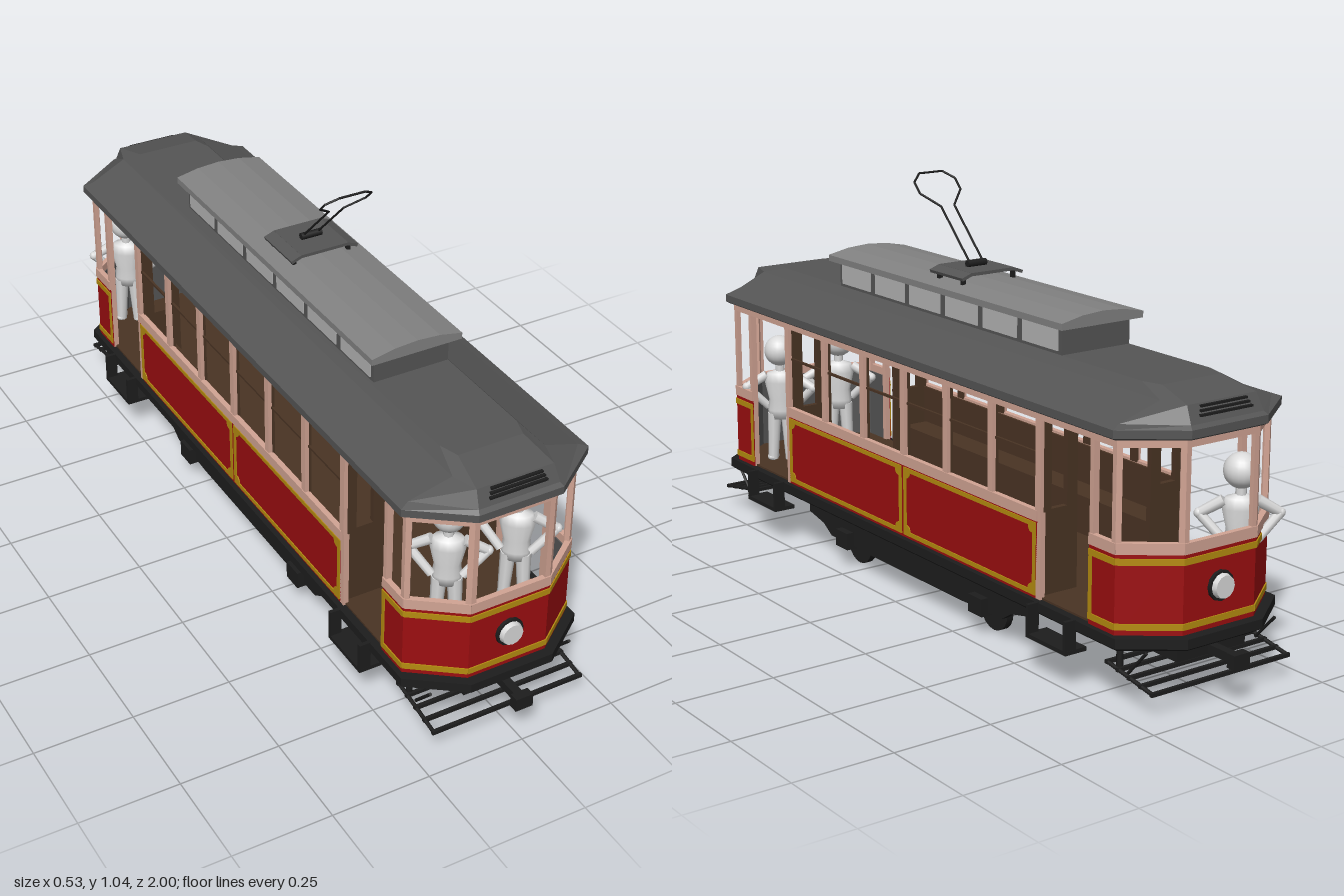
import * as THREE from 'three';

const mat = (name, color, extra = {}) => {
  const m = new THREE.MeshStandardMaterial({ color, ...extra });
  m.name = name;
  return m;
};

export function createModel() {
  const red = mat('red paint', 0x9c0e10), gold = mat('gold trim', 0xb58c10);
  const pink = mat('pale wood', 0xd2a494), roofGrey = mat('roof grey', 0x555555);
  const lightGrey = mat('light roof grey', 0x828282), black = mat('black iron', 0x1d1d1d);
  const brown = mat('brown wood', 0x4a3424), white = mat('figure white', 0xdadada);
  const pane = mat('pane grey', 0xb4b4b4);
  const tram = new THREE.Group();
  tram.name = 'tram';

  const add = (parent, name, geo, m, x = 0, y = 0, z = 0) => {
    const mesh = new THREE.Mesh(geo, m);
    mesh.name = name;
    mesh.position.set(x, y, z);
    parent.add(mesh);
    return mesh;
  };
  const box = (p, name, m, w, h, d, x, y, z) => add(p, name, new THREE.BoxGeometry(w, h, d), m, x, y, z);
  const rod = (p, name, m, a, b, r, r2 = r, sides = 8) => {
    const A = new THREE.Vector3(...a), B = new THREE.Vector3(...b), d = B.clone().sub(A);
    const mesh = add(p, name, new THREE.CylinderGeometry(r2, r, d.length(), sides), m);
    mesh.position.copy(A).add(B).multiplyScalar(0.5);
    mesh.quaternion.setFromUnitVectors(new THREE.Vector3(0, 1, 0), d.normalize());
    return mesh;
  };

  // Closed, flat-faced loft through eight-sided rings [half width, half length, corner x, corner z, y]
  const loft = (p, name, m, rings) => {
    const pts = rings.map(([w, l, cx, cz, y]) => [[-cx, l], [cx, l], [w, cz], [w, -cz], [cx, -l], [-cx, -l], [-w, -cz], [-w, cz]]
      .map(([x, z]) => [x, y, z]));
    const pos = [];
    const tri = (...t) => t.forEach(v => pos.push(...v));
    for (let r = 0; r + 1 < pts.length; r++) for (let i = 0; i < 8; i++) {
      const j = (i + 1) % 8, a = pts[r], b = pts[r + 1];
      tri(a[i], a[j], b[j]);
      tri(a[i], b[j], b[i]);
    }
    const lo = pts[0], hi = pts[pts.length - 1];
    for (let i = 1; i < 7; i++) {
      tri(hi[0], hi[i], hi[i + 1]);
      tri(lo[0], lo[i + 1], lo[i]);
    }
    const g = new THREE.BufferGeometry();
    g.setAttribute('position', new THREE.Float32BufferAttribute(pos, 3));
    g.computeVertexNormals();
    return add(p, name, g, m);
  };

  // Platform, floor, ceiling and hipped roof
  loft(tram, 'platform', black, [[0.225, 0.93, 0.1, 0.84, 0.135], [0.238, 0.945, 0.11, 0.85, 0.145], [0.238, 0.945, 0.11, 0.85, 0.168]]);
  loft(tram, 'floor', brown, [[0.218, 0.91, 0.1, 0.82, 0.165], [0.218, 0.91, 0.1, 0.82, 0.173]]);
  loft(tram, 'ceiling', brown, [[0.218, 0.91, 0.1, 0.82, 0.607], [0.218, 0.91, 0.1, 0.82, 0.62]]);
  loft(tram, 'roof', roofGrey, [[0.235, 0.93, 0.105, 0.835, 0.615], [0.245, 0.94, 0.11, 0.84, 0.621], [0.245, 0.94, 0.11, 0.84, 0.64],
    [0.222, 0.93, 0.105, 0.83, 0.648], [0.12, 0.91, 0.1, 0.845, 0.688], [0.1, 0.81, 0.085, 0.76, 0.71]]);

  // Clerestory with panes and a shallow arched top
  box(tram, 'clerestory', roofGrey, 0.2, 0.09, 0.95, 0, 0.735, 0);
  for (const s of [-1, 1]) for (let i = 0; i < 6; i++)
    box(tram, 'clerestoryPane', pane, 0.006, 0.052, 0.135, s * 0.1, 0.744, (i - 2.5) * 0.158);
  const arch = new THREE.Shape([[-0.12, 0.775], [0.12, 0.775], [0.12, 0.791], [0.06, 0.803], [0, 0.807], [-0.06, 0.803], [-0.12, 0.791]]
    .map(q => new THREE.Vector2(...q)));
  add(tram, 'clerestoryRoof', new THREE.ExtrudeGeometry(arch, { depth: 1, bevelEnabled: false }), lightGrey, 0, 0, -0.5);

  // Bow collector on its base
  const bow = new THREE.Group();
  bow.name = 'bowCollector';
  tram.add(bow);
  box(bow, 'collectorBase', roofGrey, 0.13, 0.008, 0.14, 0, 0.826, 0);
  for (const s of [-1, 1]) {
    const wing = box(bow, 'collectorWing', roofGrey, 0.03, 0.008, 0.14, s * 0.077, 0.821, 0);
    wing.rotation.z = -s * 0.35;
    for (const z of [-0.05, 0.05]) box(bow, 'collectorFoot', black, 0.01, 0.025, 0.01, s * 0.075, 0.808, z);
  }
  rod(bow, 'collectorPivot', black, [-0.028, 0.837, 0], [0.028, 0.837, 0], 0.009);
  const half = [[0.02, 0.84], [0.02, 0.963], [0.062, 0.995], [0.062, 1.02], [0.035, 1.038]];
  const loop = [...half, ...half.map(([x, y]) => [-x, y]).reverse()].map(([x, y]) => [x, y, y - 0.84]);
  for (let i = 0; i + 1 < loop.length; i++) rod(bow, 'collectorRod', black, loop[i], loop[i + 1], 0.0028, 0.0028, 6);

  // Saloon sides: red panels with rounded gold frames, pillars and sashes
  const frameShape = (w, h, t, r) => {
    const s = new THREE.Shape([[-w, -h], [w, -h], [w, h], [-w, h]].map(q => new THREE.Vector2(...q)));
    const a = w - t, b = h - t, hole = new THREE.Path();
    hole.moveTo(-a + r, -b).lineTo(a - r, -b).quadraticCurveTo(a - r, -b + r, a, -b + r).lineTo(a, b - r)
      .quadraticCurveTo(a - r, b - r, a - r, b).lineTo(-a + r, b).quadraticCurveTo(-a + r, b - r, -a, b - r)
      .lineTo(-a, -b + r).quadraticCurveTo(-a + r, -b + r, -a + r, -b);
    s.holes.push(hole);
    return new THREE.ExtrudeGeometry(s, { depth: 0.004, bevelEnabled: false, curveSegments: 5 });
  };
  for (const s of [-1, 1]) {
    box(tram, 'sidePanel', red, 0.01, 0.192, 1.1, s * 0.219, 0.26, 0);
    box(tram, 'sideLining', brown, 0.008, 0.205, 1.09, s * 0.211, 0.272, 0);
    box(tram, 'sideSill', pink, 0.014, 0.026, 1.1, s * 0.22, 0.368, 0);
    box(tram, 'sideHeader', pink, 0.014, 0.026, 1.48, s * 0.218, 0.609, 0);
    box(tram, 'sashRail', brown, 0.006, 0.006, 1.1, s * 0.214, 0.512, 0);
    box(tram, 'bench', brown, 0.075, 0.02, 1.06, s * 0.172, 0.265, 0);
    box(tram, 'benchFront', brown, 0.01, 0.09, 1.06, s * 0.145, 0.215, 0);
    for (const z of [-0.275, 0.275]) {
      const f = add(tram, 'goldFrame', frameShape(0.27, 0.088, 0.011, 0.016), gold, s * 0.2225, 0.263, z);
      f.rotation.y = s * Math.PI / 2;
    }
    for (let i = -3; i <= 3; i++) {
      box(tram, 'pillar', pink, 0.012, 0.225, 0.019, s * 0.219, 0.49, i * 0.184);
      box(tram, 'pillarLining', brown, 0.006, 0.225, 0.025, s * 0.212, 0.49, i * 0.184);
    }
  }

  // One end of the car, turned round for the other
  const plan = [[-0.225, 0.74], [-0.225, 0.83], [-0.105, 0.92], [0.105, 0.92], [0.225, 0.83], [0.225, 0.74]];
  const makeEnd = () => {
    const end = new THREE.Group();
    end.name = 'carEnd';
    for (let i = 0; i < 5; i++) {
      const [a, b] = [plan[i], plan[i + 1]], dx = b[0] - a[0], dz = b[1] - a[1], len = Math.hypot(dx, dz);
      const wall = new THREE.Group();
      wall.name = 'endWall';
      wall.position.set((a[0] + b[0]) / 2, 0, (a[1] + b[1]) / 2);
      wall.rotation.y = Math.atan2(-dz, dx);
      end.add(wall);
      box(wall, 'dashPanel', red, len, 0.192, 0.01, 0, 0.26, -0.005);
      box(wall, 'dashLining', roofGrey, len - 0.008, 0.19, 0.004, 0, 0.265, -0.012);
      for (const y of [0.188, 0.338]) box(wall, 'goldBand', gold, len, 0.015, 0.004, 0, y, 0.001);
      box(wall, 'endSill', pink, len, 0.026, 0.014, 0, 0.368, -0.004);
      box(wall, 'endHeader', pink, len, 0.026, 0.014, 0, 0.609, -0.006);
      for (const s of [-1, 1]) box(wall, 'endPost', pink, 0.013, 0.225, 0.012, s * (len / 2 - 0.0065), 0.49, -0.006);
      if (i % 4 === 0) {
        box(wall, 'goldEdge', gold, 0.01, 0.16, 0.004, (i ? 1 : -1) * (len / 2 - 0.006), 0.263, 0.001);
        box(wall, 'doorPost', pink, 0.014, 0.445, 0.014, (i ? 1 : -1) * (len / 2 - 0.006), 0.39, -0.009);
      }
    }
    // Bulkhead with a centre doorway and side lights
    for (const s of [-1, 1]) {
      box(end, 'bulkheadPanel', brown, 0.105, 0.21, 0.014, s * 0.162, 0.273, 0.545);
      box(end, 'bulkheadPost', brown, 0.03, 0.24, 0.014, s * 0.125, 0.49, 0.545);
      box(end, 'bulkheadPost', brown, 0.03, 0.24, 0.014, s * 0.2, 0.49, 0.545);
      box(end, 'doorPost', pink, 0.014, 0.445, 0.016, s * 0.217, 0.39, 0.554);
      // Hanging step below each doorway
      for (const z of [0.568, 0.705]) {
        box(end, 'stepHanger', black, 0.03, 0.078, 0.01, s * 0.25, 0.13, z);
        box(end, 'stepBracket', black, 0.06, 0.01, 0.01, s * 0.225, 0.16, z);
      }
      box(end, 'stepBoard', black, 0.06, 0.01, 0.147, s * 0.235, 0.094, 0.637);
      // Lifeguard tray side rail and hangers
      rod(end, 'guardRail', black, [s * 0.2, 0.085, 0.78], [s * 0.2, 0.058, 0.935], 0.005);
      rod(end, 'guardHanger', black, [s * 0.19, 0.08, 0.81], [s * 0.19, 0.14, 0.81], 0.008);
      rod(end, 'guardStay', black, [s * 0.19, 0.075, 0.84], [s * 0.19, 0.14, 0.9], 0.004);
    }
    for (let i = 0; i < 5; i++) box(end, 'guardSlat', black, 0.41, 0.009, 0.009, 0, 0.085 - i * 0.00675, 0.78 + i * 0.0388);
    // Headlamp, roof vent and coupler
    rod(end, 'headlampRim', black, [0, 0.265, 0.915], [0, 0.265, 0.928], 0.036, 0.036, 12);
    rod(end, 'headlamp', white, [0, 0.265, 0.92], [0, 0.265, 0.94], 0.032, 0.027, 12);
    for (let i = 0; i < 3; i++) box(end, 'ventSlat', black, 0.15 - i * 0.008, 0.005, 0.008, 0, 0.664 + i * 0.009, 0.924 - i * 0.0045);
    box(end, 'couplerMount', black, 0.2, 0.045, 0.1, 0, 0.12, 0.85);
    box(end, 'couplerBar', black, 0.022, 0.022, 0.12, 0, 0.11, 0.93);
    box(end, 'couplerHead', black, 0.046, 0.034, 0.024, 0, 0.11, 0.988);
    return end;
  };
  tram.add(makeEnd());
  const rear = makeEnd();
  rear.rotation.y = Math.PI;
  tram.add(rear);

  // Truck: side frames, middle gear, axles and wheels
  const truck = new THREE.Group();
  truck.name = 'truck';
  tram.add(truck);
  const prof = [[0.49, 0.14], [0.49, 0.1], [0.42, 0.085], [0.38, 0.06], [0.26, 0.06], [0.22, 0.058]];
  const side = new THREE.Shape([...prof, ...prof.map(([x, y]) => [-x, y]).reverse()].map(q => new THREE.Vector2(...q)));
  for (const s of [-1, 1]) {
    const f = add(truck, 'truckSide', new THREE.ExtrudeGeometry(side, { depth: 0.02, bevelEnabled: false }), black, s * 0.19 - 0.01, 0, 0);
    f.rotation.y = Math.PI / 2;
    for (const z of [-0.3, 0.3]) {
      rod(truck, 'wheel', black, [s * 0.145, 0.056, z], [s * 0.163, 0.056, z], 0.056, 0.056, 20);
      box(truck, 'axleBox', black, 0.03, 0.045, 0.055, s * 0.205, 0.075, z);
    }
  }
  for (const z of [-0.3, 0.3]) {
    rod(truck, 'axle', black, [-0.19, 0.056, z], [0.19, 0.056, z], 0.012);
    box(truck, 'motor', black, 0.2, 0.07, 0.16, 0, 0.095, z * 0.6);
  }
  for (const z of [-0.46, 0, 0.46]) box(truck, 'crossBeam', black, 0.38, 0.03, 0.04, 0, 0.12, z);

  // Standing figures with hands on hips
  const makeFigure = (x, z, turn) => {
    const p = new THREE.Group();
    p.name = 'figure';
    add(p, 'head', new THREE.SphereGeometry(0.042, 20, 14), white, 0, 0.488, 0);
    rod(p, 'neck', white, [0, 0.42, 0], [0, 0.455, 0], 0.013);
    const torso = add(p, 'torso', new THREE.LatheGeometry([[0, 0.29], [0.03, 0.295], [0.036, 0.32], [0.032, 0.35], [0.043, 0.4], [0.036, 0.425], [0, 0.437]]
      .map(q => new THREE.Vector2(...q)), 14), white);
    torso.scale.z = 0.7;
    for (const s of [-1, 1]) {
      rod(p, 'upperArm', white, [s * 0.038, 0.418, 0], [s * 0.092, 0.385, -0.01], 0.014, 0.012);
      add(p, 'elbow', new THREE.SphereGeometry(0.0125, 10, 8), white, s * 0.092, 0.385, -0.01);
      rod(p, 'forearm', white, [s * 0.092, 0.385, -0.01], [s * 0.036, 0.325, 0.012], 0.012, 0.011);
      rod(p, 'leg', white, [s * 0.024, 0.178, 0], [s * 0.018, 0.31, 0], 0.014, 0.019);
      const foot = add(p, 'foot', new THREE.SphereGeometry(0.016, 10, 8), white, s * 0.026, 0.182, 0.012);
      foot.scale.set(1, 0.7, 1.8);
    }
    p.position.set(x, 0, z);
    p.rotation.y = turn;
    tram.add(p);
  };
  makeFigure(-0.05, 0.735, -0.6);
  makeFigure(0.14, 0.735, -0.7);
  makeFigure(-0.125, -0.845, Math.PI - 0.6);
  return tram;
}
